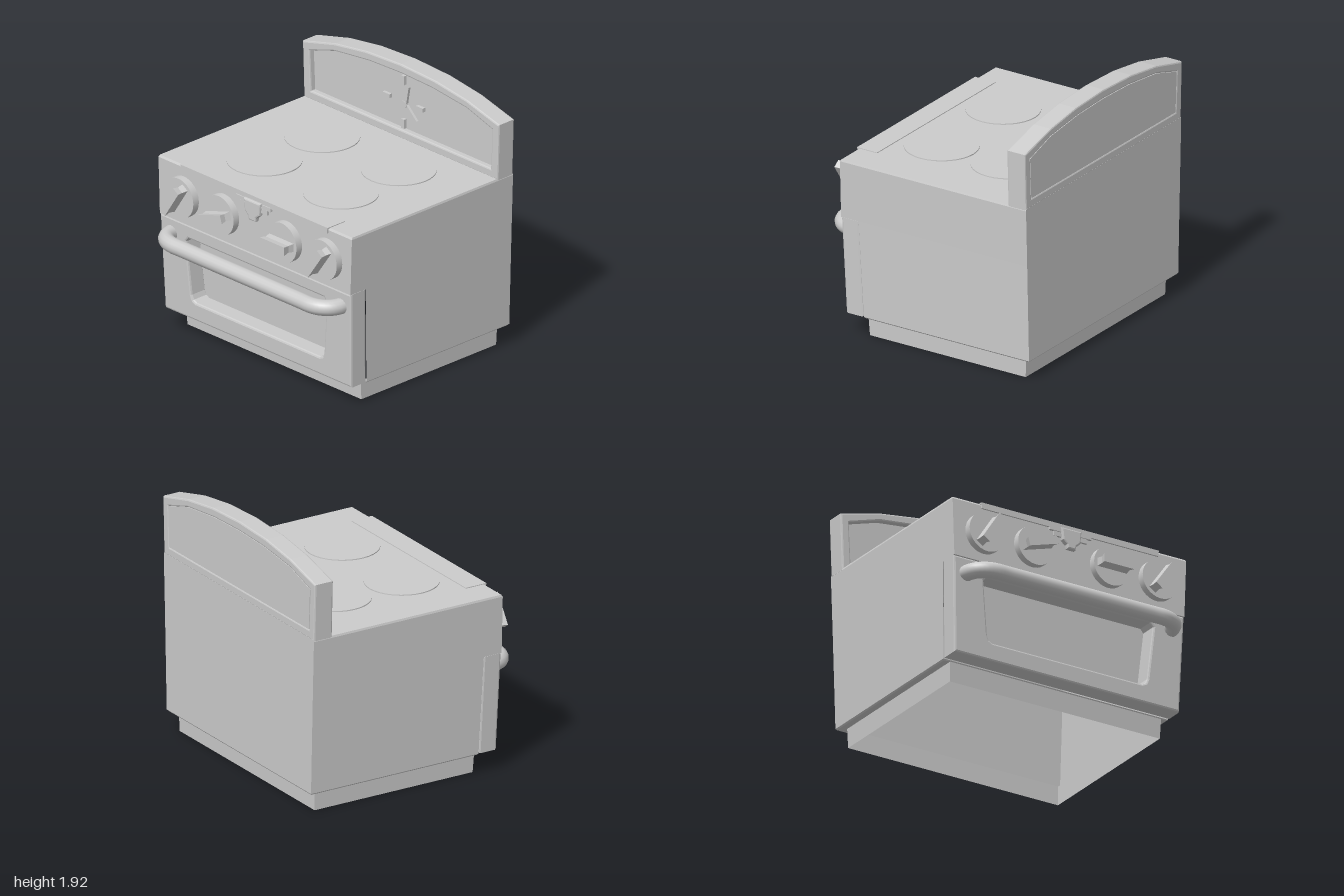
import * as THREE from 'three';

const mat = new THREE.MeshStandardMaterial({ color: 0xcccccc, side: THREE.DoubleSide });

function add(parent, name, geometry, x = 0, y = 0, z = 0) {
  const mesh = new THREE.Mesh(geometry, mat);
  mesh.name = name;
  mesh.position.set(x, y, z);
  parent.add(mesh);
  return mesh;
}

const shapeOf = (pts) => new THREE.Shape(pts.map(([x, y]) => new THREE.Vector2(x, y)));

// Outline from its right half, listed bottom to top, mirrored to the left
function mirrored(half) {
  const left = half.filter(([x]) => x > 0).reverse().map(([x, y]) => [-x, y]);
  return shapeOf([...half, ...left]);
}

// Extrusion between two depths, with an edge bevel that stays inside the outline
function slab(shape, z0, z1, bevel = 0) {
  const g = new THREE.ExtrudeGeometry(shape, {
    depth: z1 - z0 - 2 * bevel, bevelEnabled: bevel > 0, bevelSize: bevel,
    bevelThickness: bevel, bevelOffset: -bevel, bevelSegments: 2, curveSegments: 4,
  });
  return g.translate(0, 0, z0 + bevel);
}

// Open shell through rectangular rings [y, halfWidth, back, front, openFrontAbove]
function shell(rings) {
  const pos = [];
  const corners = ([y, w, b, f]) => [[-w, y, f], [w, y, f], [w, y, b], [-w, y, b]];
  for (let r = 0; r < rings.length - 1; r++) {
    const lo = corners(rings[r]), hi = corners(rings[r + 1]);
    for (let i = rings[r][4] ? 1 : 0; i < 4; i++) {
      const j = (i + 1) % 4;
      for (const p of [lo[i], lo[j], hi[j], lo[i], hi[j], hi[i]]) pos.push(...p);
    }
  }
  const g = new THREE.BufferGeometry();
  g.setAttribute('position', new THREE.Float32BufferAttribute(pos, 3));
  g.computeVertexNormals();
  return g;
}

export function createModel() {
  const stove = new THREE.Group();
  stove.name = 'stove';

  // Hollow plinth and body, open below and behind the door
  add(stove, 'body', shell([
    [0, 0.885, -0.82, 0.51], [0.15, 0.89, -0.825, 0.52],
    [0.15, 0.938, -0.882, 0.515], [0.16, 0.947, -0.89, 0.52, true],
    [0.9, 0.97, -0.89, 0.55], [0.9, 0.97, -0.89, 0.7],
    [1.335, 0.985, -0.89, 0.7], [1.35, 0.98, -0.89, 0.69],
    [1.35, 0, -0.1, -0.1],
  ]));

  // Arched back panel with a sunken face
  const back = mirrored([[0.985, 1.34], [1, 1.775], [0.67, 1.86], [0.35, 1.905], [0, 1.92]]);
  const face = mirrored([[0.915, 1.41], [0.93, 1.72], [0.67, 1.8], [0.32, 1.84], [0, 1.85]]);
  back.holes.push(face);
  add(stove, 'backsplash', slab(back, -0.89, -0.735, 0.012));
  add(stove, 'backsplashFace', slab(face, -0.888, -0.78));

  // Clock
  const clock = new THREE.Group();
  clock.name = 'clock';
  stove.add(clock);
  for (const [x, y, w, h] of [[0, 1.79, 0.03, 0.07], [0, 1.45, 0.03, 0.07],
    [-0.17, 1.62, 0.07, 0.03], [0.17, 1.62, 0.07, 0.03]])
    add(clock, 'hourMark', new THREE.BoxGeometry(w, h, 0.03), x, y, -0.77);
  add(clock, 'hourHand', slab(shapeOf([[-0.025, 1.6], [0.03, 1.605], [0.055, 1.745]]), -0.78, -0.76));
  add(clock, 'minuteHand', slab(shapeOf([[-0.01, 1.575], [0.135, 1.51], [0.035, 1.605]]), -0.78, -0.76));
  add(clock, 'clockHub', new THREE.CylinderGeometry(0.03, 0.03, 0.025, 16).rotateX(Math.PI / 2), 0.005, 1.6, -0.768);

  // Hot plates
  for (const x of [-0.39, 0.39])
    for (const z of [0.23, -0.34])
      add(stove, 'hotPlate', new THREE.CylinderGeometry(0.27, 0.27, 0.012, 32), x, 1.352, z);

  // Trim strip folded over the front edge of the top
  add(stove, 'trimTop', new THREE.BoxGeometry(1.5, 0.012, 0.172), 0, 1.35, 0.626);
  add(stove, 'trimFront', new THREE.BoxGeometry(1.49, 0.04, 0.02), 0, 1.331, 0.702);

  // Ornamental bracket under the trim
  add(stove, 'bracketUpperBar', new THREE.BoxGeometry(0.35, 0.03, 0.03), 0, 1.305, 0.705);
  add(stove, 'bracketLowerBar', new THREE.BoxGeometry(0.28, 0.035, 0.03), 0, 1.27, 0.702);
  const bracket = mirrored([[0.035, 1.17], [0.04, 1.2], [0.075, 1.23], [0.085, 1.325]]);
  add(stove, 'bracket', slab(bracket, 0.69, 0.735, 0.012));

  // Knobs, each with a turned, waisted grip
  const knobs = [[-0.725, 57], [-0.315, 17], [0.325, 0], [0.735, 55]];
  for (const [x, angle] of knobs) {
    const knob = new THREE.Group();
    knob.name = 'knob';
    knob.position.set(x, 1.115, 0.7);
    knob.rotation.z = THREE.MathUtils.degToRad(angle);
    stove.add(knob);
    add(knob, 'knobDisc', new THREE.CylinderGeometry(0.152, 0.152, 0.07, 32).rotateX(Math.PI / 2), 0, 0, 0.02);
    const grip = new THREE.BoxGeometry(0.25, 0.065, 0.1, 1, 1, 2).toNonIndexed();
    const p = grip.attributes.position;
    for (let i = 0; i < p.count; i++)
      if (Math.abs(p.getZ(i)) < 0.01) p.setXY(i, p.getX(i) * 0.92, p.getY(i) * 0.8);
    grip.computeVertexNormals();
    add(knob, 'knobGrip', grip, 0, 0, 0.1);
  }

  // Door with a deep window, leaning back slightly towards the bottom
  const lean = (g) => {
    const p = g.attributes.position;
    for (let i = 0; i < p.count; i++) p.setZ(i, p.getZ(i) - (0.9 - p.getY(i)) * 0.035);
    g.computeVertexNormals();
    return g;
  };
  const door = mirrored([[0.948, 0.16], [0.972, 0.9]]);
  const pane = mirrored([[0.63, 0.3], [0.66, 0.315], [0.675, 0.35], [0.715, 0.76], [0.69, 0.79]]);
  door.holes.push(pane);
  add(stove, 'door', lean(slab(door, 0.548, 0.697, 0.015)));
  add(stove, 'doorWindow', lean(slab(pane, 0.55, 0.562)));

  // Door handle
  const half = [[0.865, 0.64], [0.862, 0.7], [0.835, 0.765], [0.78, 0.812], [0.71, 0.833], [0.6, 0.833], [0.2, 0.833]];
  const path = [...half.map(([x, z]) => [-x, z]), ...half.slice().reverse()]
    .map(([x, z]) => new THREE.Vector3(x, 0.78, z));
  add(stove, 'doorHandle', new THREE.TubeGeometry(new THREE.CatmullRomCurve3(path, false, 'centripetal'), 80, 0.059, 14));

  return stove;
}
